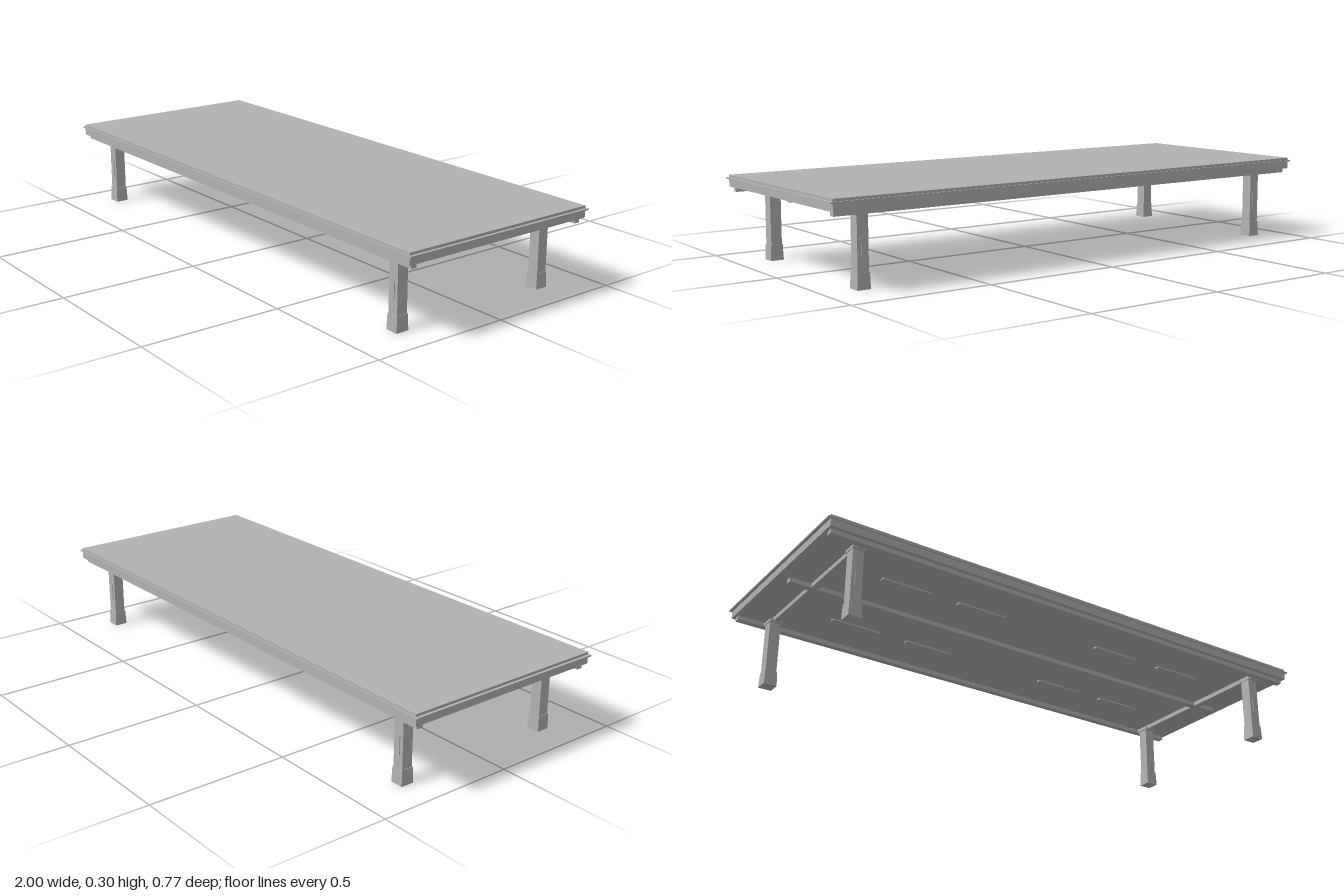
import * as THREE from 'three';

export function createModel() {
  const model = new THREE.Group();
  model.name = 'lowTable';
  const grey = new THREE.MeshStandardMaterial({ color: 0xb2b2b2 });
  grey.name = 'plain grey';

  const add = (parent, name, geometry, x, y, z) => {
    const mesh = new THREE.Mesh(geometry, grey);
    mesh.name = name;
    mesh.position.set(x, y, z);
    parent.add(mesh);
    return mesh;
  };
  // Box spanning y0 to y1, with an optional scale of its top end
  const block = (parent, name, w, y0, y1, d, x = 0, z = 0, taper = 1) => {
    const geometry = new THREE.BoxGeometry(w, y1 - y0, d);
    const p = geometry.attributes.position;
    for (let i = 0; i < p.count; i++) {
      if (p.getY(i) > 0) p.setXYZ(i, p.getX(i) * taper, p.getY(i), p.getZ(i) * taper);
    }
    geometry.computeVertexNormals();
    return add(parent, name, geometry, x, (y0 + y1) / 2, z);
  };

  // Table top with a thin bead around its edge
  block(model, 'tableEdge', 1.98, 0.26, 0.287, 0.76);
  block(model, 'edgeBead', 2, 0.287, 0.292, 0.77);
  block(model, 'tableTop', 1.98, 0.292, 0.301, 0.76);

  // Rails and beams below the top
  for (const s of [-1, 1]) {
    block(model, 'longRail', 1.96, 0.244, 0.26, 0.022, 0, s * 0.354);
    block(model, 'crossBeam', 0.024, 0.244, 0.26, 0.686, s * 0.86, 0);
  }
  block(model, 'centreBeam', 1.9, 0.244, 0.26, 0.023);

  // Short ribs under the top
  for (const x of [-0.6, -0.3, 0.3, 0.6]) {
    for (const z of [-0.18, 0.18]) {
      block(model, 'underRib', 0.19, 0.254, 0.26, 0.018, x, z);
    }
  }

  // Square legs with a flared foot, a cap and a thin plate on the outer face
  for (const sx of [-1, 1]) {
    for (const sz of [-1, 1]) {
      const leg = new THREE.Group();
      leg.name = 'leg';
      leg.position.set(sx * 0.862, 0, sz * 0.308);
      block(leg, 'foot', 0.048, 0, 0.055, 0.048, 0, 0, 0.92);
      block(leg, 'shaft', 0.04, 0.055, 0.242, 0.04);
      block(leg, 'legCap', 0.046, 0.241, 0.252, 0.054);
      block(leg, 'legPlate', 0.014, 0.105, 0.167, 0.004, 0, sz * 0.0205);
      model.add(leg);
    }
  }
  return model;
}
